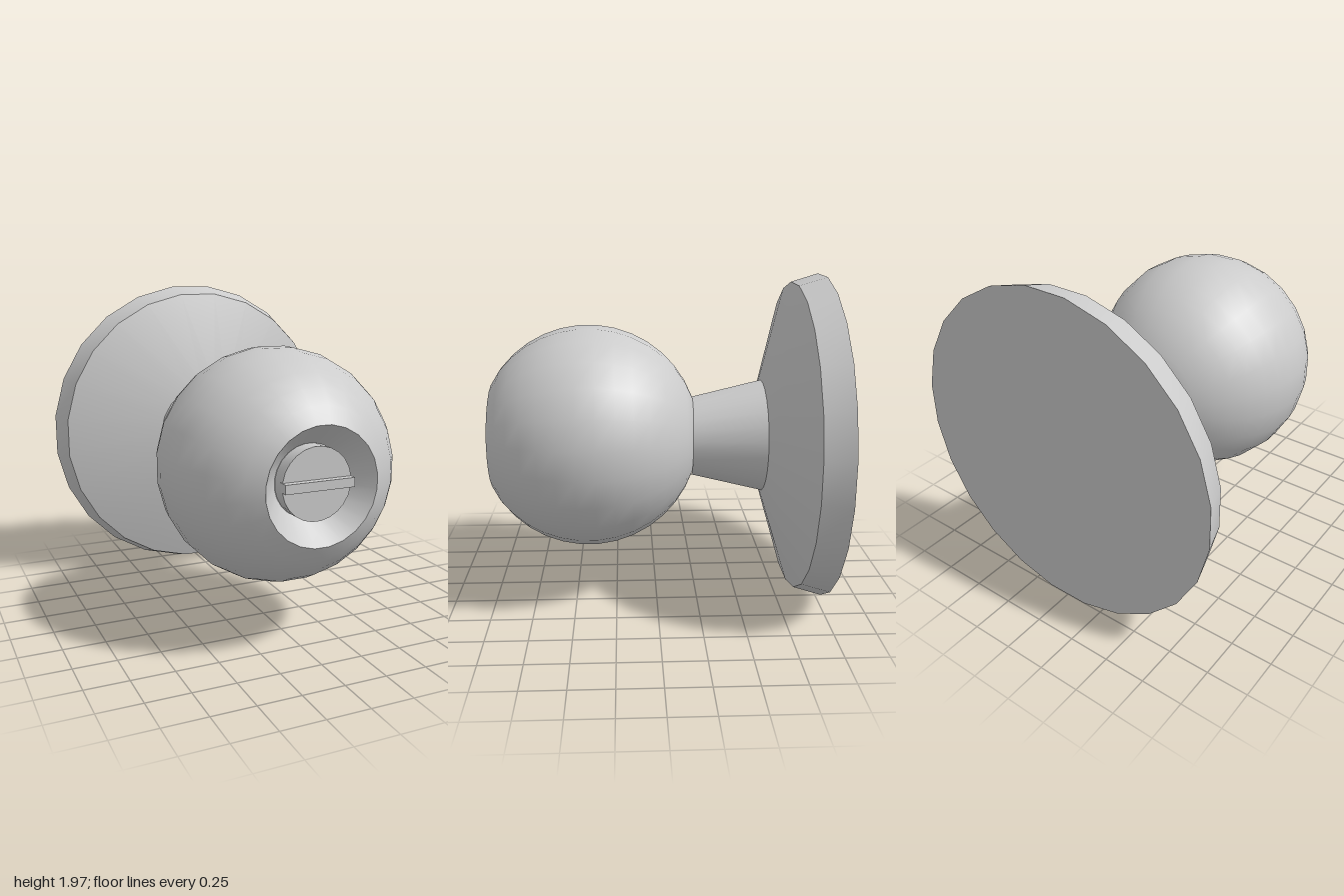
import * as THREE from 'three';
import { toCreasedNormals } from 'three/addons/utils/BufferGeometryUtils.js';

const SIDES = 24;
const material = new THREE.MeshStandardMaterial({ color: 0xcccccc });

// Turned part: profile of [radius, z] pairs running from back to front
function turned(name, profile, x = 0, y = 0.99) {
  const points = profile.map(([r, z]) => new THREE.Vector2(r, z));
  const lathe = new THREE.LatheGeometry(points, SIDES, Math.PI / SIDES);
  lathe.rotateX(Math.PI / 2);
  const mesh = new THREE.Mesh(toCreasedNormals(lathe, 0.5), material);
  mesh.name = name;
  mesh.position.set(x, y, 0);
  return mesh;
}

export function createModel() {
  const group = new THREE.Group();
  group.name = 'doorKnob';

  // Wall plate with a bevelled rim and a shallow conical face
  group.add(turned('rosette', [[0, -1], [0.995, -1], [0.945, -0.835], [0.345, -0.655], [0, -0.655]]));

  // Tapered neck between plate and ball
  group.add(turned('neck', [[0.347, -0.66], [0.243, -0.22]]));

  // Ball cut flat at the front, with a conical recess
  const radius = 0.68, centre = 0.41;
  const start = Math.asin(0.235 / radius);
  const end = Math.PI - Math.asin(0.33 / radius);
  const ball = [[0, -0.228]];
  for (let i = 0; i <= 14; i++) {
    const a = start + (end - start) * i / 14;
    ball.push([radius * Math.sin(a), centre - radius * Math.cos(a)]);
  }
  ball[ball.length - 1] = [0.33, 1];
  ball.push([0.205, 0.84], [0, 0.84]);
  group.add(turned('knobBall', ball, -0.013, 1));

  // Lock button standing in the recess
  group.add(turned('lockButton', [[0.205, 0.83], [0.205, 0.93], [0, 0.93]], -0.01, 1));

  // Thumb bar across the button
  const bar = new THREE.Mesh(new THREE.BoxGeometry(0.41, 0.052, 0.06), material);
  bar.name = 'thumbBar';
  bar.position.set(-0.01, 1, 0.94);
  group.add(bar);

  return group;
}
